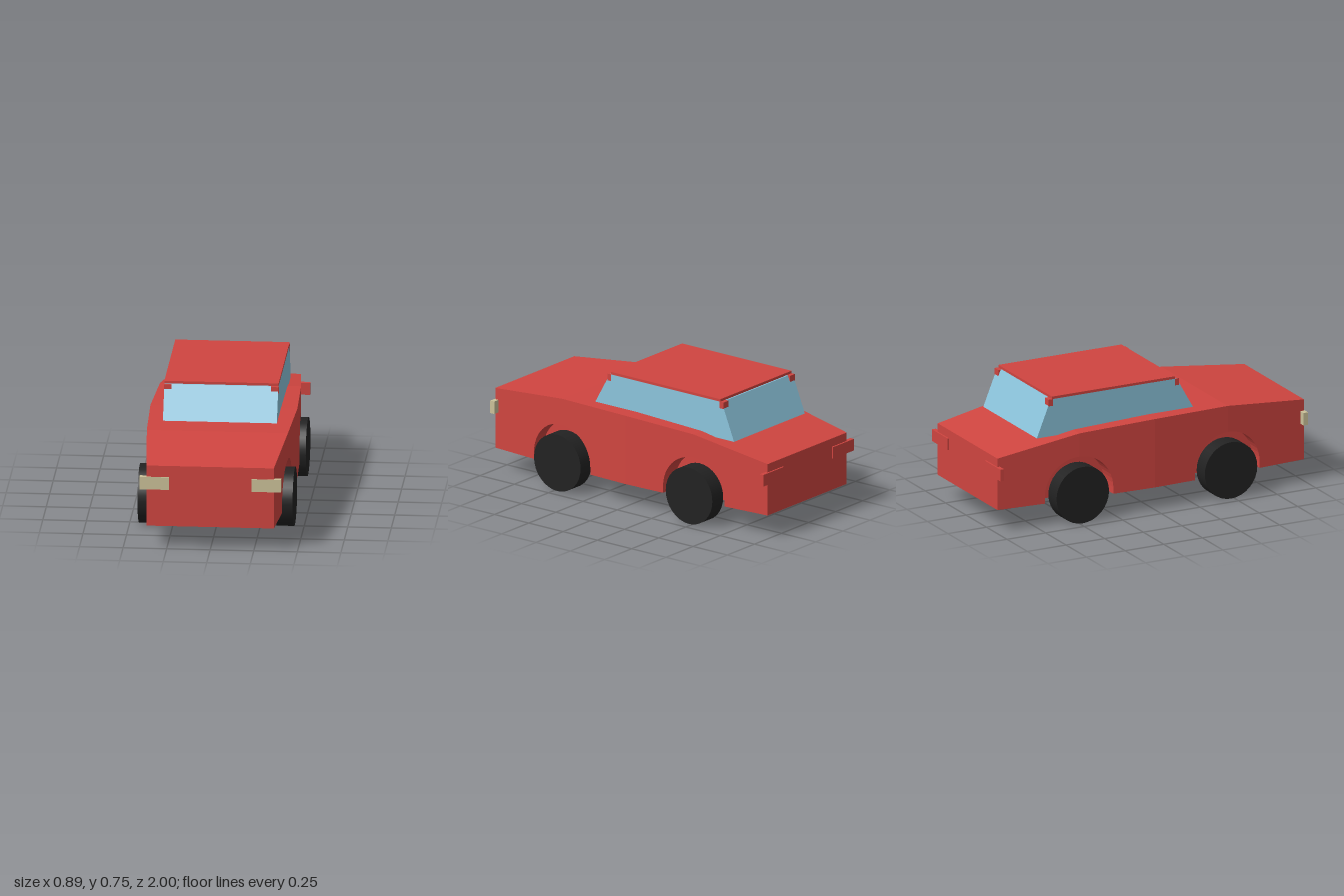
import * as THREE from 'three';

const red = new THREE.MeshStandardMaterial({ color: 0xd04540 });
red.name = 'body red';
const glass = new THREE.MeshStandardMaterial({ color: 0x8cc4dc });
glass.name = 'window blue';
const rubber = new THREE.MeshStandardMaterial({ color: 0x222222 });
rubber.name = 'tyre black';
const lamp = new THREE.MeshStandardMaterial({ color: 0xcbc199 });
lamp.name = 'headlight cream';

// Body stations: z, top height, half width
const FRONT = [0.995, 0.495, 0.365];
const FRONT_AXLE = [0.48, 0.547, 0.405];
const MIDDLE = [0, 0.547, 0.422];
const REAR_AXLE = [-0.48, 0.53, 0.405];
const REAR = [-0.99, 0.445, 0.365];
const STATIONS = [FRONT, FRONT_AXLE, MIDDLE, REAR_AXLE, REAR];
const FLOOR = 0.135;
const CORE = 0.3; // half width between the wheel wells

// Extrudes a [z, y] outline sideways; xAt(t, z) gives the distance from the centre line
function sideways(points, side, xAt) {
  const shape = new THREE.Shape(points.map(([z, y]) => new THREE.Vector2(-side * z, y)));
  const geo = new THREE.ExtrudeGeometry(shape, { depth: 1, bevelEnabled: false });
  const p = geo.attributes.position;
  for (let i = 0; i < p.count; i++) {
    const z = -side * p.getX(i);
    p.setXYZ(i, side * xAt(p.getZ(i), z), p.getY(i), z);
  }
  geo.computeVertexNormals();
  return geo;
}

function add(parent, name, geo, mat) {
  const mesh = new THREE.Mesh(geo, mat);
  mesh.name = name;
  parent.add(mesh);
  return mesh;
}

function box(parent, name, mat, [x0, x1], [y0, y1], [z0, z1]) {
  const mesh = add(parent, name, new THREE.BoxGeometry(x1 - x0, y1 - y0, z1 - z0), mat);
  mesh.position.set((x0 + x1) / 2, (y0 + y1) / 2, (z0 + z1) / 2);
}

// Flank between a wheel station and its neighbour, with half a wheel arch cut out
function flank(axle, end, side) {
  const [za, ya, wa] = axle;
  const [ze, ye, we] = end;
  const dir = Math.sign(ze - za);
  const r = 0.215;
  const points = [[ze, FLOOR], [ze, ye], [za, ya]];
  for (let i = 0; i <= 12; i++) {
    const t = (i / 12) * Math.PI / 2;
    points.push([za + dir * r * Math.sin(t), 0.175 + r * Math.cos(t)]);
  }
  points.push([za + dir * r, FLOOR]);
  const width = (z) => wa + (we - wa) * (z - za) / (ze - za);
  return sideways(points, side, (t, z) => CORE + t * (width(z) - CORE));
}

export function createModel() {
  const car = new THREE.Group();
  car.name = 'car';

  // Body: straight core plus tapered flanks
  const body = new THREE.Group();
  body.name = 'body';
  car.add(body);
  const outline = [[FRONT[0], FLOOR], ...STATIONS.map(([z, y]) => [z, y]), [REAR[0], FLOOR]];
  add(body, 'bodyCore', sideways(outline, 1, (t) => CORE * (2 * t - 1)), red);

  // Cabin glass and roof
  const cabin = [[0.3, 0.54], [0.19, 0.735], [-0.625, 0.735], [-0.715, 0.513], [0.3, 0.513]];
  add(car, 'windows', sideways(cabin, 1, (t) => 0.327 * (2 * t - 1)), glass);
  box(car, 'roof', red, [-0.328, 0.328], [0.735, 0.75], [-0.617, 0.18]);

  for (const side of [1, -1]) {
    const label = side > 0 ? 'left' : 'right';
    const span = (a, b) => (side > 0 ? [a, b] : [-b, -a]);

    for (const axle of [FRONT_AXLE, REAR_AXLE]) {
      const place = axle === FRONT_AXLE ? 'Front' : 'Rear';
      const outer = axle === FRONT_AXLE ? FRONT : REAR;
      add(body, label + place + 'Fender', flank(axle, outer, side), red);
      add(body, label + place + 'Door', flank(axle, MIDDLE, side), red);

      const tyre = new THREE.CylinderGeometry(0.17, 0.17, 0.1, 32).rotateZ(Math.PI / 2);
      add(car, label + place + 'Wheel', tyre, rubber).position.set(side * 0.395, 0.17, axle[0]);
    }

    // Roof corner brackets
    box(car, label + 'FrontBracket', red, span(0.285, 0.329), [0.695, 0.735], [0.18, 0.205]);
    box(car, label + 'RearBracket', red, span(0.285, 0.329), [0.695, 0.735], [-0.64, -0.612]);

    // Lights
    box(car, label + 'Headlight', lamp, span(0.237, 0.406), [0.353, 0.428], [0.97, 1]);
    box(car, label + 'TailLight', red, span(0.228, 0.418), [0.325, 0.395], [-1, -0.975]);
  }
  return car;
}
